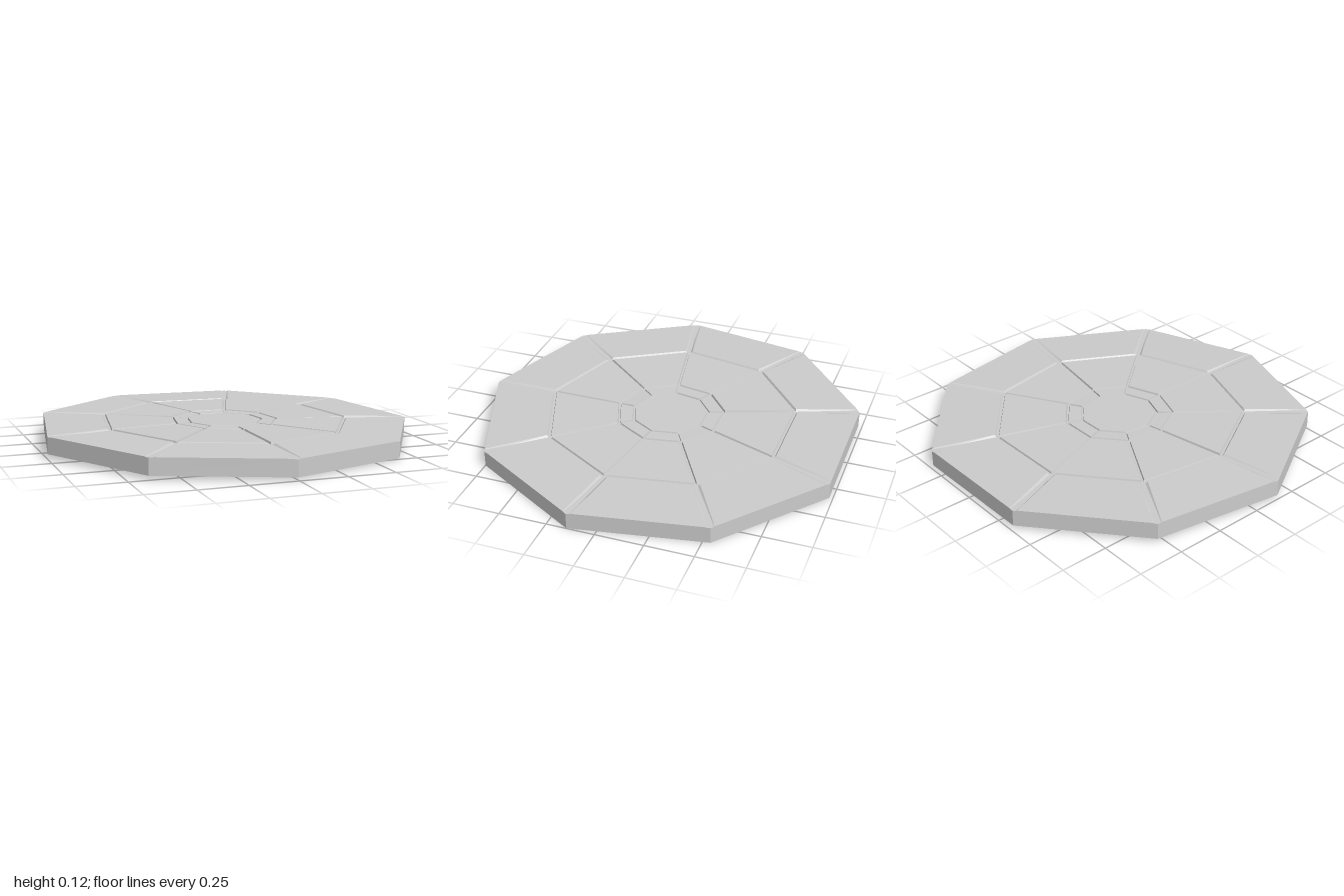
import * as THREE from 'three';

const SIDES = 9, STEP = (Math.PI * 2) / SIDES, R = 1.014;
const material = new THREE.MeshStandardMaterial({ color: 0xcccccc, flatShading: true });

// small repeatable variation for the uneven stones
let seed = 7;
const jitter = (amount) => {
  seed = (seed * 16807) % 2147483647;
  return (seed / 2147483647 - 0.5) * 2 * amount;
};

// point on a nonagon side, moved a distance in from one of its two corners
function sidePoint(r, k, y, inset, fromEnd) {
  const corner = (i) => new THREE.Vector3(Math.sin(i * STEP) * r, y, Math.cos(i * STEP) * r);
  const t = inset / (2 * r * Math.sin(STEP / 2));
  return corner(k).lerp(corner(k + 1), fromEnd ? 1 - t : t);
}

// four corners of a ring segment, counter-clockwise seen from above
const segment = (r0, r1, k, y0, y1, inset) => [
  sidePoint(r0, k, y0, inset, false), sidePoint(r1, k, y1, inset, false),
  sidePoint(r1, k, y1, inset, true), sidePoint(r0, k, y0, inset, true),
];

// one stone: flat top with bevelled flanks
function tileGeometry(k, { r0, r1, y0, y1, gap, bevel, seamBevel, rim, vary }) {
  const low = segment(r0 + gap, rim ? r1 : r1 - gap, k, 0.08, 0.08, gap);
  const dy = jitter(vary), slope = jitter(vary);
  const top = segment(r0 + gap + bevel, rim ? r1 : r1 - gap - bevel, k,
    y0 + dy + slope, rim ? y1 : y1 + dy - slope, gap + seamBevel);
  const pts = [];
  const quad = (a, b, c, d) => pts.push(a, b, c, a, c, d);
  quad(...top);
  for (let i = 0; i < 4; i++) {
    const j = (i + 1) % 4;
    quad(low[i], low[j], top[j], top[i]);
  }
  const geometry = new THREE.BufferGeometry().setFromPoints(pts);
  geometry.computeVertexNormals();
  return geometry;
}

function prism(name, rTop, rBottom, y0, y1) {
  const mesh = new THREE.Mesh(new THREE.CylinderGeometry(rTop, rBottom, y1 - y0, SIDES), material);
  mesh.name = name;
  mesh.position.y = (y0 + y1) / 2;
  return mesh;
}

export function createModel() {
  const model = new THREE.Group();
  model.name = 'stonePlatform';
  const slab = new THREE.Group();
  slab.name = 'tiltedSlab';
  model.add(slab);

  // solid body whose top is the floor of the grooves
  slab.add(prism('body', R, R, 0, 0.086));

  // three rings of paving stones
  const rings = [
    { name: 'outerStone', r0: 0.668, r1: R, y0: 0.095, y1: 0.0885, gap: 0.003, bevel: 0.012, seamBevel: 0.02, rim: true, vary: 0.001 },
    { name: 'middleStone', r0: 0.288, r1: 0.668, y0: 0.095, y1: 0.095, gap: 0.003, bevel: 0.006, seamBevel: 0.006, vary: 0.0015 },
    { name: 'innerStone', r0: 0.205, r1: 0.288, y0: 0.094, y1: 0.094, gap: 0.003, bevel: 0.005, seamBevel: 0.003, vary: 0.001 },
  ];
  for (const ring of rings) {
    for (let k = 0; k < SIDES; k++) {
      const stone = new THREE.Mesh(tileGeometry(k, ring), material);
      stone.name = ring.name;
      slab.add(stone);
    }
  }

  // centre plate
  slab.add(prism('centrePlate', 0.197, 0.202, 0.08, 0.094));

  // slight lean to the left, with the lowest edge on the ground
  slab.rotation.z = -0.0125;
  slab.position.set(0, 0.0125, -0.031);
  return model;
}
